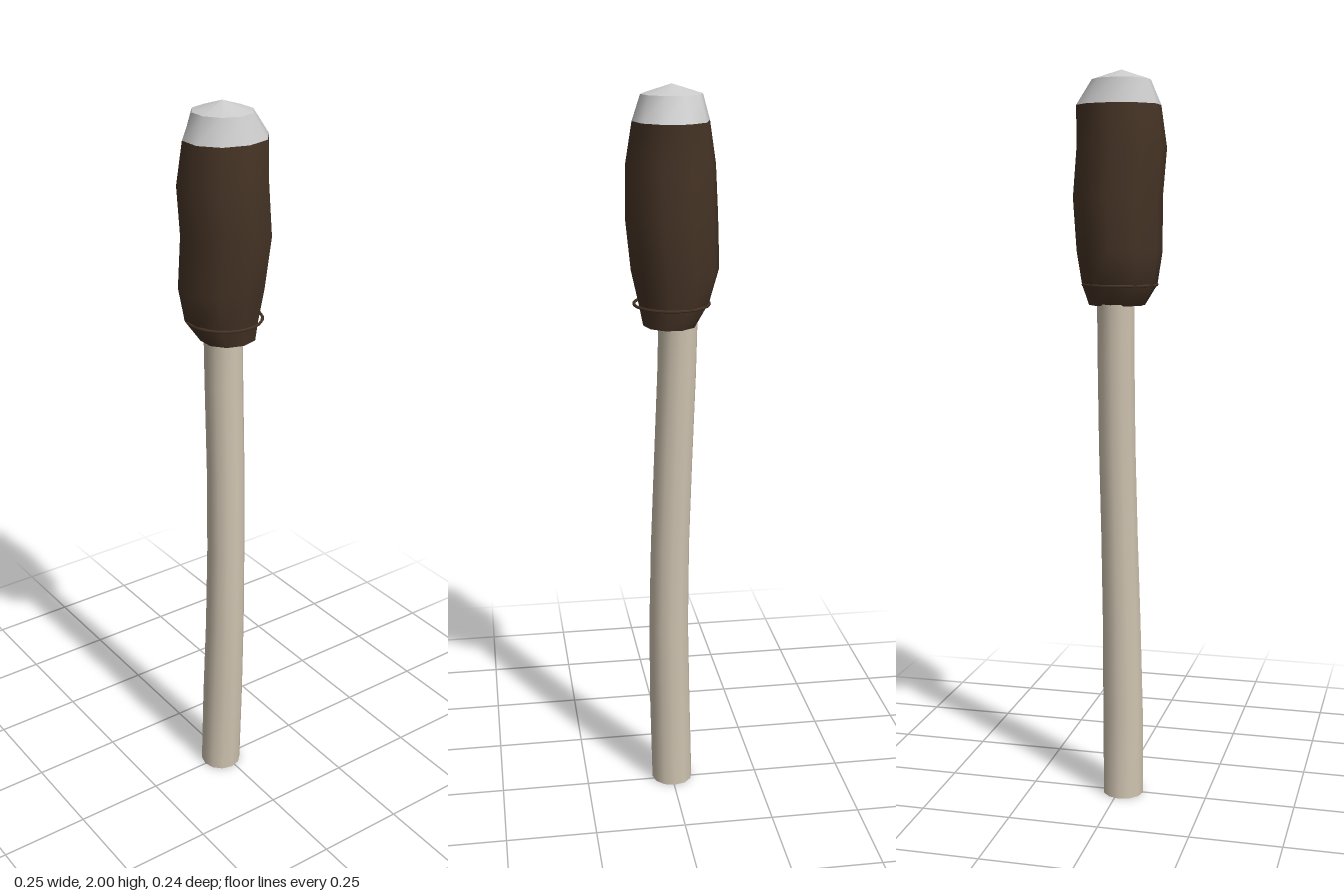
import * as THREE from 'three';

// Skin a stack of ellipse rings [y, xMin, xMax, zMin, zMax], listed from bottom to top
function loft(rings, sides) {
  const pos = [], idx = [];
  const zFit = sides % 4 ? 1 / Math.cos(Math.PI / sides) : 1;
  for (const [y, x0, x1, z0, z1] of rings) {
    for (let j = 0; j < sides; j++) {
      const a = (j / sides) * Math.PI * 2;
      pos.push(
        (x0 + x1) / 2 + ((x1 - x0) / 2) * Math.cos(a),
        y,
        (z0 + z1) / 2 + ((z1 - z0) / 2) * zFit * Math.sin(a)
      );
    }
  }
  for (let i = 0; i < rings.length - 1; i++) {
    for (let j = 0; j < sides; j++) {
      const a = i * sides + j, b = i * sides + ((j + 1) % sides);
      idx.push(a, a + sides, b, b, a + sides, b + sides);
    }
  }
  const g = new THREE.BufferGeometry();
  g.setAttribute('position', new THREE.Float32BufferAttribute(pos, 3));
  g.setIndex(idx);
  g.computeVertexNormals();
  return g;
}

// Ring collapsed to the centre of another one, used to close an end
const centre = ([, x0, x1, z0, z1], y) => {
  const x = (x0 + x1) / 2, z = (z0 + z1) / 2;
  return [y, x, x, z, z];
};

export function createModel() {
  const model = new THREE.Group();
  const wood = new THREE.MeshStandardMaterial({ color: 0xcfc3b0 });
  const wrap = new THREE.MeshStandardMaterial({ color: 0x453325 });
  const grey = new THREE.MeshStandardMaterial({ color: 0xcccccc });
  const add = (name, geometry, material) => {
    const mesh = new THREE.Mesh(geometry, material);
    mesh.name = name;
    model.add(mesh);
    return mesh;
  };

  // Gently bent shaft
  const shaft = [
    [0, -0.06, 0.057, -0.045, 0.07],
    [0.25, -0.053, 0.063, -0.048, 0.067],
    [0.5, -0.047, 0.065, -0.05, 0.059],
    [0.75, -0.048, 0.06, -0.053, 0.051],
    [1.0, -0.055, 0.051, -0.057, 0.046],
    [1.25, -0.064, 0.041, -0.058, 0.045],
    [1.42, -0.068, 0.037, -0.058, 0.045],
  ];
  add('shaft', loft(shaft, 12), wood);
  add('shaftEnd', loft([centre(shaft[0], 0), shaft[0]], 12), wood);

  // Uneven wrapped head
  const head = [
    [1.385, -0.065, 0.078, -0.08, 0.065],
    [1.44, -0.1, 0.088, -0.094, 0.1],
    [1.53, -0.126, 0.108, -0.106, 0.113],
    [1.67, -0.12, 0.123, -0.118, 0.11],
    [1.8, -0.115, 0.12, -0.108, 0.121],
    [1.91, -0.097, 0.103, -0.11, 0.106],
  ];
  add('headWrap', loft(head, 10), wrap);
  add('headBase', loft([centre(head[0], 1.385), head[0]], 10), wrap);

  // Bare tip with a shallow pointed top
  const rim = [1.975, -0.08, 0.08, -0.068, 0.08];
  add('tipBand', loft([head[5], rim], 10), grey);
  add('tipTop', loft([rim, centre(rim, 2.0)], 10), grey);

  // Thin cord tied round the bottom of the wrap
  const cord = add('cord', new THREE.TorusGeometry(0.1, 0.004, 6, 24), wrap);
  cord.rotation.x = Math.PI / 2;
  cord.position.set(0.001, 1.44, 0.002);

  return model;
}
